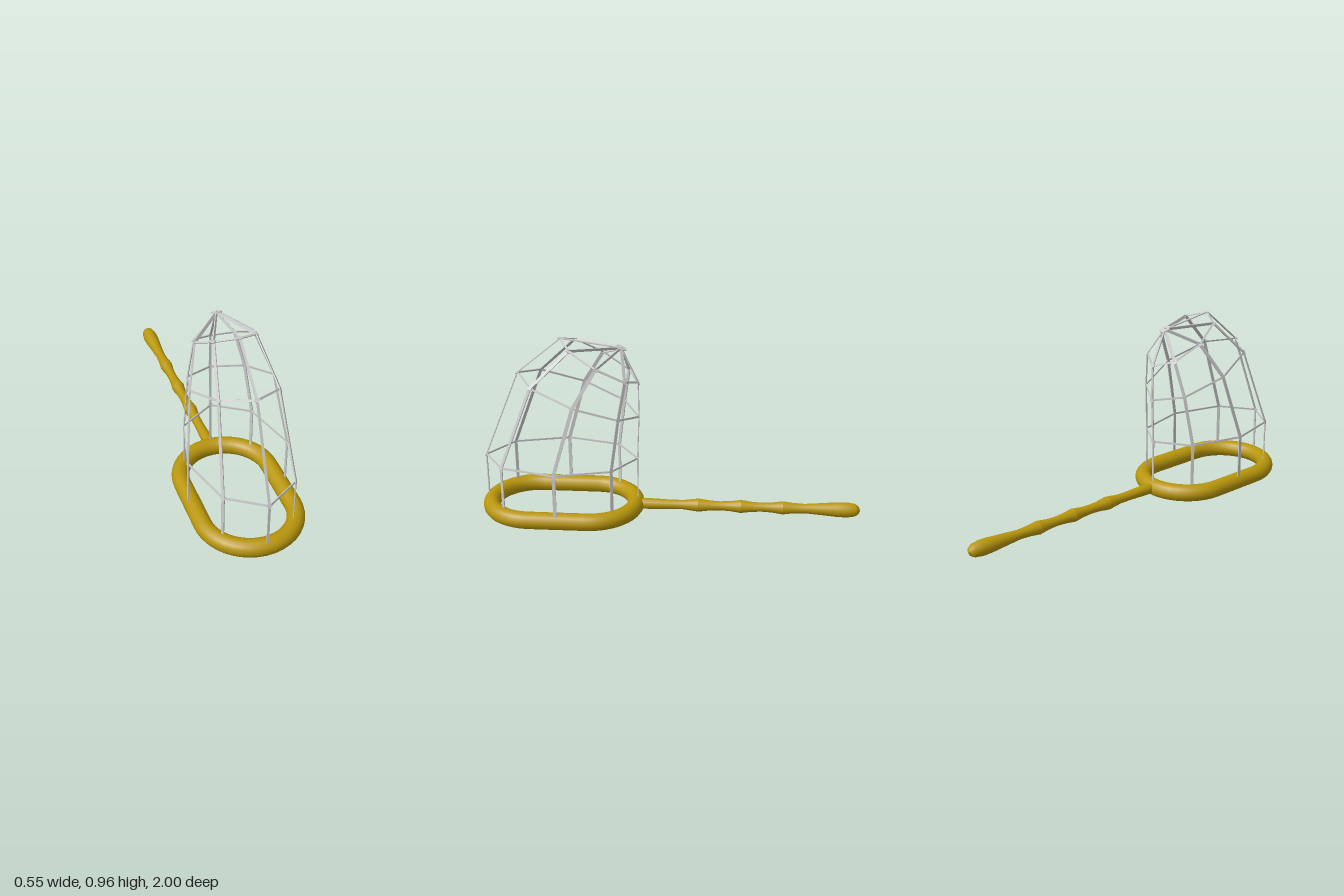
import * as THREE from 'three';
import { mergeGeometries } from 'three/addons/utils/BufferGeometryUtils.js';

const gold = new THREE.MeshStandardMaterial({ color: 0xb8960c });
const grey = new THREE.MeshStandardMaterial({ color: 0xcccccc });
const V = (x, y, z) => new THREE.Vector3(x, y, z);
const SPOKES = 8, THICK = 0.005, HOOP_Y = 0.045;

// tilted elliptical levels of the net, from the hoop upwards
const LEVELS = [
  { rx: 0.255, rz: 0.4, y: 0.05, z: 0.57, tilt: 0 },
  { rx: 0.255, rz: 0.4, y: 0.31, z: 0.57, tilt: 0 },
  { rx: 0.21, rz: 0.31, y: 0.657, z: 0.47, tilt: 0.113 },
  { rx: 0.147, rz: 0.195, y: 0.843, z: 0.357, tilt: 0.112 },
];
const APEX = V(0, 0.912, 0.245);

function knot(level, k) {
  const l = LEVELS[level], a = (k / SPOKES) * Math.PI * 2;
  return V(l.rx * Math.sin(a), l.y + l.tilt * Math.cos(a), l.z + l.rz * Math.cos(a));
}

// outward direction of the net surface at a knot
function outward(level, k) {
  const around = knot(level, k + 1).sub(knot(level, k - 1));
  const above = level < 3 ? knot(level + 1, k) : APEX.clone();
  const up = above.sub(knot(Math.max(level - 1, 0), k));
  return up.cross(around).normalize();
}

// places a geometry with its y axis along "dir" and its z axis near "normal"
function orient(geometry, position, dir, normal) {
  const y = dir.clone().normalize();
  const x = y.clone().cross(normal).normalize();
  const z = x.clone().cross(y);
  return geometry.applyMatrix4(new THREE.Matrix4().makeBasis(x, y, z).setPosition(position));
}

// flat strand from a to b
function strand(a, b, normal, width) {
  const dir = b.clone().sub(a);
  return orient(new THREE.BoxGeometry(width, dir.length(), THICK), a.clone().lerp(b, 0.5), dir, normal);
}

// small plate where strands meet
function plate(position, dir, normal, radius, sides) {
  const g = new THREE.CylinderGeometry(radius, radius, THICK, sides).rotateX(Math.PI / 2);
  return orient(g, position, dir, normal);
}

function buildNet() {
  const spokes = [], rings = [], joints = [];
  const apexNormal = V(0, 0.9, -0.42).normalize();
  for (let k = 0; k < SPOKES; k++) {
    const side = Math.abs(Math.sin((k / SPOKES) * Math.PI * 2));
    const width = 0.012 + 0.006 * side;
    for (let i = 0; i < 4; i++) {
      const a = knot(i, k), n = outward(i, k);
      const b = i < 3 ? knot(i + 1, k) : APEX;
      const n2 = i < 3 ? outward(i + 1, k) : apexNormal;
      spokes.push(strand(a, b, n.clone().add(n2), width));
      if (i === 0) continue;
      rings.push(strand(a, knot(i, k + 1), n.clone().add(outward(i, k + 1)), 0.01));
      joints.push(plate(a, b.clone().sub(a), n, 0.015, 4));
    }
  }
  joints.push(plate(APEX, V(1, 0, 0), apexNormal, 0.028, SPOKES));

  const net = new THREE.Group();
  net.name = 'net';
  for (const [name, parts] of [['netSpokes', spokes], ['netRings', rings], ['netJoints', joints]]) {
    const mesh = new THREE.Mesh(mergeGeometries(parts), grey);
    mesh.name = name;
    net.add(mesh);
  }
  return net;
}

// stadium-shaped hoop: two half circles joined by straight sides
function buildHoop() {
  const r = 0.232, half = 0.153, zc = 0.567;
  class Stadium extends THREE.Curve {
    getPoint(t, target = V(0, 0, 0)) {
      const arc = Math.PI * r, line = 2 * half;
      let s = (((t % 1) + 1) % 1) * 2 * (arc + line);
      const sign = s < arc + line ? 1 : -1;
      if (sign < 0) s -= arc + line;
      if (s < arc) {
        const a = s / r;
        return target.set(sign * r * Math.cos(a), HOOP_Y, zc + sign * (half + r * Math.sin(a)));
      }
      return target.set(-sign * r, HOOP_Y, zc + sign * (half - (s - arc)));
    }
  }
  const hoop = new THREE.Mesh(new THREE.TubeGeometry(new Stadium(), 56, 0.045, 16, true), gold);
  hoop.name = 'hoop';
  return hoop;
}

// cane handle: waisted sections meeting in creased nodes, with a rounded grip
function buildHandle() {
  const handle = new THREE.Group();
  handle.name = 'handle';
  // each entry: [distance behind the origin, radius]
  const sections = [
    [[-0.17, 0.028], [-0.1, 0.029], [0.0, 0.025], [0.07, 0.025], [0.15, 0.035]],
    [[0.15, 0.035], [0.21, 0.027], [0.265, 0.024], [0.32, 0.027], [0.375, 0.035]],
    [[0.375, 0.035], [0.43, 0.027], [0.485, 0.024], [0.54, 0.027], [0.595, 0.035]],
    [[0.595, 0.035], [0.65, 0.028], [0.71, 0.025], [0.8, 0.032], [0.88, 0.039],
      [0.93, 0.04], [0.97, 0.034], [0.99, 0.022], [1.0, 0]],
  ];
  sections.forEach((profile, i) => {
    const points = profile.map(([d, radius]) => new THREE.Vector2(radius, d));
    const mesh = new THREE.Mesh(new THREE.LatheGeometry(points, 20).rotateX(-Math.PI / 2), gold);
    mesh.position.y = 0.048;
    mesh.name = `handleSection${i + 1}`;
    handle.add(mesh);
  });
  return handle;
}

export function createModel() {
  const model = new THREE.Group();
  model.name = 'handNet';
  model.add(buildHoop(), buildHandle(), buildNet());
  return model;
}
